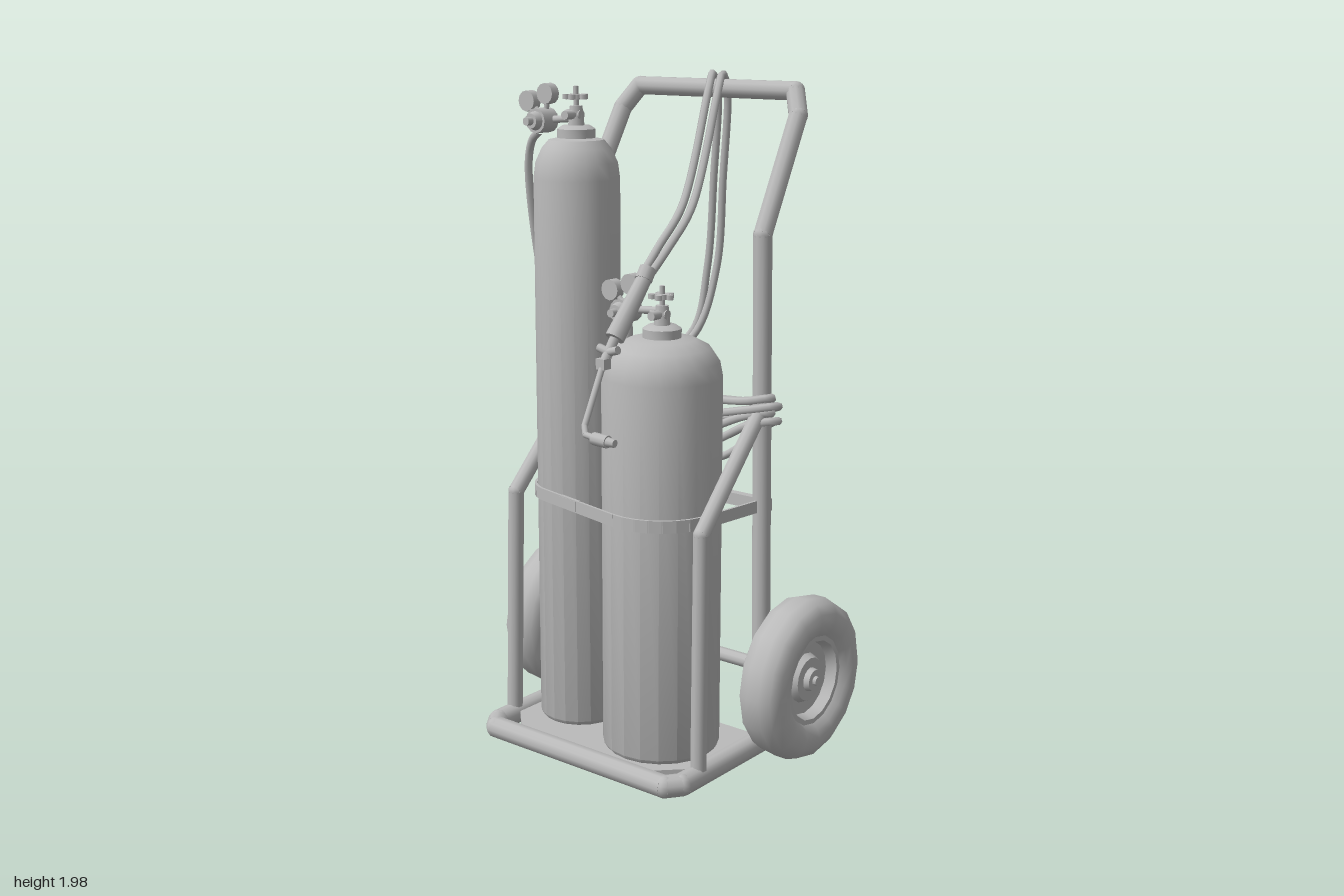
import * as THREE from 'three';
import { toCreasedNormals } from 'three/addons/utils/BufferGeometryUtils.js';

const grey = new THREE.MeshStandardMaterial({ color: 0xbababa });
grey.name = 'grey metal';
const V = (p) => new THREE.Vector3(...p);
const UP = new THREE.Vector3(0, 1, 0);

function add(parent, name, geo, pos = [0, 0, 0]) {
  const m = new THREE.Mesh(geo, grey);
  m.name = name;
  m.position.set(...pos);
  parent.add(m);
  return m;
}

// Straight round bar between two points
function bar(parent, name, a, b, r, r2 = r, sides = 10) {
  const d = V(b).sub(V(a));
  const m = add(parent, name, new THREE.CylinderGeometry(r2, r, d.length(), sides));
  m.position.copy(V(a)).addScaledVector(d, 0.5);
  m.quaternion.setFromUnitVectors(UP, d.normalize());
  return m;
}

// Bent pipe: bars with round joints
function pipe(parent, name, pts, r) {
  const g = new THREE.Group();
  g.name = name;
  pts.forEach((p, i) => {
    if (i) bar(g, name + 'Section', pts[i - 1], p, r);
    if (i && i < pts.length - 1) add(g, name + 'Bend', new THREE.SphereGeometry(r, 10, 8), p);
  });
  parent.add(g);
}

function hose(parent, name, pts, closed = false, r = 0.012) {
  const c = new THREE.CatmullRomCurve3(pts.map(V), closed, 'centripetal');
  add(parent, name, new THREE.TubeGeometry(c, pts.length * 6, r, 7, closed));
}

function lathe(profile, sides, crease = 0.6) {
  const g = new THREE.LatheGeometry(profile.map((p) => new THREE.Vector2(...p)), sides);
  return toCreasedNormals(g, crease);
}

const mirrorX = (p) => [-p[0], p[1], p[2]];

// Gas cylinder with rounded shoulder, collar and hand valve
function gasCylinder(name, x, z, r, top, shoulder) {
  const g = new THREE.Group();
  g.name = name;
  g.position.set(x, 0, z);
  const h = top - shoulder, n = 0.055;
  add(g, 'bottle', lathe([
    [0, 0.06], [r - 0.01, 0.06], [r, 0.075], [r, shoulder],
    [r * 0.95, shoulder + h * 0.4], [r * 0.8, shoulder + h * 0.75],
    [n + (r - n) * 0.35, top - 0.005], [n, top], [n, top + 0.025], [0.04, top + 0.035], [0, top + 0.035],
  ], 20));
  const y = top + 0.03;
  add(g, 'valveBody', new THREE.CylinderGeometry(0.018, 0.024, 0.06, 8), [0, y + 0.03, 0]);
  bar(g, 'valveOutlet', [-0.035, y + 0.035, 0], [0.02, y + 0.035, 0], 0.014);
  bar(g, 'valveRelief', [0, y + 0.035, 0], [0, y + 0.035, 0.05], 0.013);
  bar(g, 'valveStem', [0, y + 0.05, 0], [0, y + 0.115, 0], 0.008);
  // Five-lobed hand wheel
  add(g, 'handWheel', new THREE.CylinderGeometry(0.022, 0.022, 0.014, 10), [0, y + 0.085, 0]);
  for (let i = 0; i < 5; i++) {
    const a = i * Math.PI * 0.4;
    add(g, 'handWheelLobe', new THREE.CylinderGeometry(0.011, 0.011, 0.014, 7),
      [Math.cos(a) * 0.028, y + 0.085, Math.sin(a) * 0.028]);
  }
  return g;
}

// Pressure regulator with two gauges, linked to a valve on its +x side
function regulator(name, pos, reach) {
  const g = new THREE.Group();
  g.name = name;
  g.position.set(...pos);
  bar(g, 'regulatorBody', [0, 0, -0.03], [0, 0, 0.03], 0.036, 0.036, 12);
  bar(g, 'regulatorBonnet', [0, 0, 0.03], [0, 0, 0.05], 0.028, 0.022, 12);
  bar(g, 'adjustingKnob', [0, 0, 0.05], [0, 0, 0.07], 0.012);
  bar(g, 'inletPipe', [0, 0, -0.015], [reach, 0.01, -0.015], 0.011);
  for (const [x, y] of [[-0.055, 0.053], [0.016, 0.076]]) {
    bar(g, 'gaugeStem', [0, 0, -0.01], [x, y, -0.01], 0.008);
    bar(g, 'gauge', [x, y, -0.022], [x, y, 0.008], 0.03, 0.03, 12);
  }
  return g;
}

function wheel(side) {
  const g = new THREE.Group();
  g.name = side > 0 ? 'leftWheel' : 'rightWheel';
  const turn = (profile, n) => lathe(profile, n, 0.75).rotateZ(-Math.PI / 2);
  add(g, 'tire', turn([
    [0.13, -0.045], [0.15, -0.066], [0.175, -0.073], [0.205, -0.07], [0.232, -0.052], [0.243, -0.02],
    [0.243, 0.02], [0.232, 0.052], [0.205, 0.07], [0.175, 0.073], [0.15, 0.066], [0.13, 0.045],
  ], 16));
  add(g, 'rim', turn([
    [0, -0.075], [0.032, -0.075], [0.036, -0.025], [0.07, -0.015], [0.11, -0.018], [0.12, -0.05], [0.135, -0.05],
    [0.135, 0.05], [0.12, 0.05], [0.11, 0.018], [0.075, 0.015], [0.065, 0.035], [0.036, 0.035],
    [0.032, 0.052], [0.014, 0.052], [0.012, 0.062], [0, 0.062],
  ], 16));
  g.position.set(side * 0.458, 0.262, -0.17);
  if (side < 0) g.rotation.y = Math.PI;
  return g;
}

export function createModel() {
  const model = new THREE.Group();
  model.name = 'cylinderCart';

  // Base frame and plate with cut front corners
  const base = [[0.355, 0.047, -0.12], [0.355, 0.047, 0.265], [0.325, 0.047, 0.305]];
  pipe(model, 'baseFrame', [...base, ...base.map(mirrorX).reverse()], 0.033);
  const plate = new THREE.Shape([[-0.35, 0.12], [0.35, 0.12], [0.35, -0.19], [0.325, -0.2], [0.25, -0.275],
    [0.25, -0.3], [-0.25, -0.3], [-0.25, -0.275], [-0.325, -0.2], [-0.35, -0.19]]
    .map((p) => new THREE.Vector2(...p)));
  add(model, 'basePlate', new THREE.ExtrudeGeometry(plate, { depth: 0.02, bevelEnabled: false })
    .rotateX(-Math.PI / 2), [0, 0.042, 0]);

  // Uprights and push handle in one bent pipe
  const upright = [[0.355, 0.03, -0.12], [0.333, 1.56, -0.12], [0.322, 1.88, -0.3], [0.285, 1.945, -0.338]];
  pipe(model, 'handleFrame', [...upright, ...upright.map(mirrorX).reverse()], 0.028);

  // Side supports
  const support = [[0.357, 0.05, 0.19], [0.35, 0.76, 0.175], [0.342, 1.06, -0.11]];
  pipe(model, 'leftSupport', support, 0.024);
  pipe(model, 'rightSupport', support.map(mirrorX), 0.024);

  // Axle and wheels
  bar(model, 'axle', [-0.46, 0.262, -0.17], [0.46, 0.262, -0.17], 0.021);
  for (const s of [-1, 1]) {
    model.add(wheel(s));
    add(model, 'axleBracket', new THREE.BoxGeometry(0.03, 0.06, 0.08), [s * 0.352, 0.262, -0.15]);
  }

  // Gas cylinders and regulators
  model.add(gasCylinder('tallCylinder', -0.188, 0.07, 0.125, 1.815, 1.7));
  model.add(gasCylinder('shortCylinder', 0.146, 0.095, 0.172, 1.28, 1.17));
  model.add(regulator('tallRegulator', [-0.303, 1.86, 0.087], 0.115));
  model.add(regulator('shortRegulator', [0.028, 1.345, 0.11], 0.118));

  // Strap wrapped around both cylinders, with rear cross bar and buckle
  const wrap = [[-0.335, -0.11]];
  const arc = (cx, cz, r, from, to) => {
    for (let i = 0; i <= 8; i++) {
      const a = THREE.MathUtils.degToRad(from + (to - from) * i / 8);
      wrap.push([cx + r * Math.cos(a), cz + r * Math.sin(a)]);
    }
  };
  arc(-0.188, 0.07, 0.13, 180, 102);
  arc(0.146, 0.095, 0.177, 102, 0);
  wrap.push([0.345, -0.11]);
  const strap = new THREE.Group();
  strap.name = 'strap';
  for (let i = 1; i < wrap.length; i++) {
    const [ax, az] = wrap[i - 1], [bx, bz] = wrap[i];
    const m = add(strap, 'strapSection', new THREE.BoxGeometry(Math.hypot(bx - ax, bz - az) + 0.004, 0.036, 0.008),
      [(ax + bx) / 2, 0.778, (az + bz) / 2]);
    m.rotation.y = -Math.atan2(bz - az, bx - ax);
  }
  add(strap, 'buckle', new THREE.BoxGeometry(0.09, 0.03, 0.018), [-0.1, 0.778, 0.218]).rotation.y = -0.21;
  model.add(strap);
  add(model, 'rearCrossBar', new THREE.BoxGeometry(0.72, 0.036, 0.025), [0.005, 0.778, -0.13]);

  // Coiled hose hung around the uprights
  for (let i = 0; i < 4; i++) {
    const x = 0.375 + (i % 2) * 0.018, y = 1.1 - i * 0.022, s = 0.05 + i * 0.045, z = -0.165 - (i % 2) * 0.018;
    hose(model, 'coiledHose', [
      [x, y, -0.12], [x - 0.07, y - 0.03, z], [0.15, y - s * 0.85, z], [-0.02, y - s, z - 0.008],
      [-0.17, y - s * 0.8, z], [0.07 - x, y - 0.02, z], [-x, y, -0.12], [0.06 - x, y + 0.01, -0.075],
      [-0.12, y - s * 0.5, -0.1], [0.12, y - s * 0.6, -0.105], [x - 0.06, y - 0.01, -0.075],
    ], true);
  }

  // Twin hoses from the torch, over the handle and down to the coil
  for (const d of [0, 1]) {
    const o = d * 0.035;
    hose(model, 'torchHose', [
      [0.085 + o * 0.7, 1.44, 0.12], [0.08 + o, 1.52, 0.03], [0.06 + o, 1.63, -0.11], [0.01 + o, 1.95, -0.295],
      [-0.01 + o, 1.988, -0.34], [-0.02 + o, 1.94, -0.378], [-0.045 + o, 1.68, -0.395],
      [-0.07 + o, 1.4, -0.4], [-0.1 + o, 1.2, -0.365 + o], [-0.2 + o, 1.1, -0.27 + o],
      [-0.31, 1.07 - o, -0.19], [-0.37, 1.06 - o, -0.13],
    ]);
  }

  // Hoses from the regulators
  hose(model, 'tallRegulatorHose', [[-0.31, 1.83, 0.09], [-0.355, 1.8, 0.075], [-0.385, 1.72, 0.06],
    [-0.398, 1.4, 0], [-0.39, 1.2, -0.05], [-0.36, 1.1, -0.1], [-0.31, 1.04, -0.16]]);
  hose(model, 'shortRegulatorHose', [[0.028, 1.32, 0.1], [0.015, 1.24, 0.08], [-0.03, 1.19, 0.01],
    [-0.08, 1.14, -0.07], [-0.2, 1.08, -0.1], [-0.36, 1.08, -0.09]]);

  // Cutting torch
  const torch = new THREE.Group();
  torch.name = 'torch';
  bar(torch, 'torchGrip', [0.1, 1.44, 0.12], [0.09, 1.29, 0.235], 0.022, 0.028);
  bar(torch, 'torchCollar', [0.1, 1.47, 0.1], [0.1, 1.44, 0.12], 0.025);
  bar(torch, 'torchNeck', [0.09, 1.29, 0.235], [0.085, 1.22, 0.28], 0.014);
  for (const s of [-1, 1]) {
    bar(torch, 'torchValve', [0.09, 1.255, 0.26], [0.09 + s * 0.035, 1.265, 0.262], 0.012);
  }
  add(torch, 'torchMixer', new THREE.BoxGeometry(0.03, 0.03, 0.03), [0.085, 1.225, 0.277]);
  pipe(torch, 'torchTube', [[0.085, 1.22, 0.28], [0.1, 1.07, 0.375], [0.115, 1.05, 0.388], [0.16, 1.045, 0.39]], 0.009);
  bar(torch, 'torchNozzle', [0.145, 1.045, 0.39], [0.195, 1.043, 0.39], 0.018);
  bar(torch, 'torchTip', [0.195, 1.043, 0.39], [0.22, 1.042, 0.39], 0.014, 0.011);
  model.add(torch);

  return model;
}
